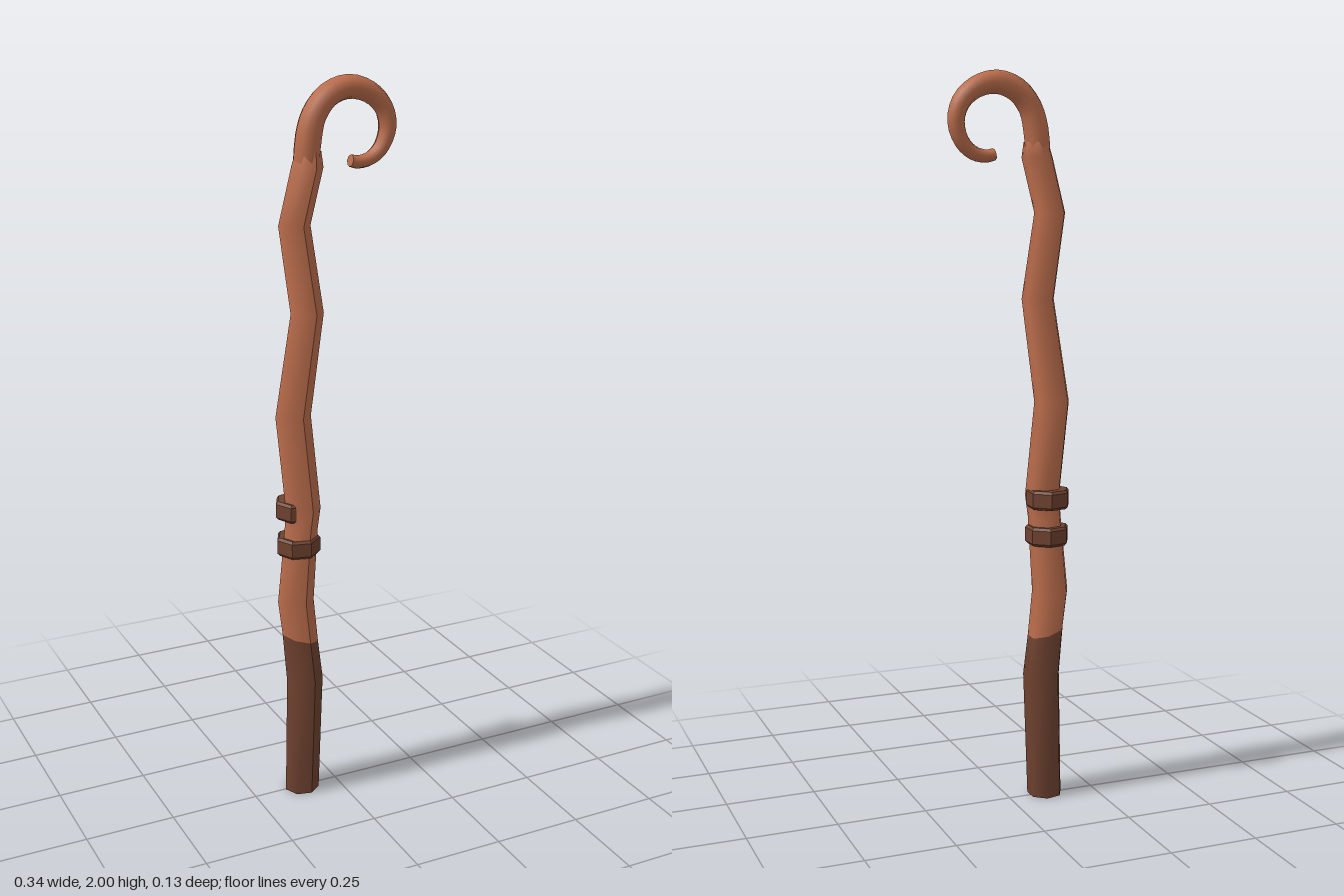
import * as THREE from 'three';

// Loft rings through sections {c, n, r, rz, tilt}; n is the ring's in-plane axis, z the other one.
// The seam keeps doubled vertices, so one crease runs along the length. darkRows get material 1.
function loft(sections, sides, phase, darkRows = 0) {
  const pos = [], idx = [], w = sides + 1;
  const point = (s, j) => {
    const a = phase + (j % sides) / sides * Math.PI * 2;
    const c = Math.cos(a) * s.r;
    return [s.c.x + s.n.x * c, s.c.y + s.n.y * c - s.tilt * Math.cos(a), s.c.z + Math.sin(a) * s.rz];
  };
  for (const s of sections) for (let j = 0; j < w; j++) pos.push(...point(s, j));
  const cap = (s, flip) => {
    const base = pos.length / 3;
    pos.push(s.c.x, s.c.y, s.c.z);
    for (let j = 0; j < w; j++) pos.push(...point(s, j));
    for (let j = 1; j <= sides; j++) {
      if (flip) idx.push(base, base + j + 1, base + j);
      else idx.push(base, base + j, base + j + 1);
    }
  };
  cap(sections[0], false);
  let split = 0;
  for (let i = 0; i < sections.length - 1; i++) {
    for (let j = 0; j < sides; j++) {
      const a = i * w + j, b = a + w;
      idx.push(a, b, a + 1, a + 1, b, b + 1);
    }
    if (i === darkRows - 1) split = idx.length;
  }
  cap(sections[sections.length - 1], true);
  const g = new THREE.BufferGeometry();
  g.setAttribute('position', new THREE.Float32BufferAttribute(pos, 3));
  g.setIndex(idx);
  g.computeVertexNormals();
  if (split) {
    g.addGroup(0, split, 1);
    g.addGroup(split, idx.length - split, 0);
  }
  return g;
}

export function createModel() {
  const wood = new THREE.MeshStandardMaterial({ color: 0xbb6d4c });
  wood.name = 'wood';
  const darkWood = new THREE.MeshStandardMaterial({ color: 0x6f4230 });
  darkWood.name = 'darkWood';

  const group = new THREE.Group();
  group.name = 'staff';
  const add = (name, geometry, material) => {
    const mesh = new THREE.Mesh(geometry, material);
    mesh.name = name;
    group.add(mesh);
    return mesh;
  };
  const SIDES = 7, PHASE = 78 * Math.PI / 180;

  // Crooked shaft: x, y, z, radius, tilt; the lowest stretch is dark
  const shaft = [
    [-0.108, 0, 0.003, 0.049, 0],
    [-0.1, 0.35, 0.008, 0.052, 0],
    [-0.111, 0.475, 0.004, 0.051, 0.015],
    [-0.122, 0.59, 0, 0.051, 0],
    [-0.107, 0.8, 0.006, 0.047, 0],
    [-0.102, 0.86, 0.009, 0.049, 0],
    [-0.123, 1.12, -0.005, 0.049, 0],
    [-0.088, 1.4, 0.012, 0.045, 0],
    [-0.118, 1.63, 0.002, 0.043, 0],
    [-0.081, 1.775, 0.002, 0.043, 0],
    [-0.078, 1.815, 0.004, 0.034, 0],
  ].map(([x, y, z, r, tilt]) => ({
    c: new THREE.Vector3(x, y, z), n: new THREE.Vector3(1, 0, 0), r, rz: r, tilt,
  }));
  add('shaft', loft(shaft, SIDES, PHASE, 2), [wood, darkWood]);

  // Curled hook: tapering tube along a curve; x, y, radius
  const hook = [
    [-0.085, 1.75, 0.036], [-0.076, 1.85, 0.036], [-0.06, 1.905, 0.034], [-0.022, 1.95, 0.033],
    [0.035, 1.969, 0.031], [0.095, 1.953, 0.028], [0.135, 1.915, 0.026], [0.148, 1.865, 0.024],
    [0.132, 1.815, 0.021], [0.102, 1.787, 0.019], [0.065, 1.778, 0.017], [0.042, 1.783, 0.016],
  ];
  const path = new THREE.CatmullRomCurve3(hook.map(([x, y]) => new THREE.Vector3(x, y, 0.004)));
  const STEPS = 33;
  const rings = [];
  for (let i = 0; i <= STEPS; i++) {
    const t = i / STEPS, f = t * (hook.length - 1);
    const k = Math.min(Math.floor(f), hook.length - 2);
    const r = THREE.MathUtils.lerp(hook[k][2], hook[k + 1][2], f - k);
    const tan = path.getTangent(t);
    rings.push({
      c: path.getPoint(t), n: new THREE.Vector3(tan.y, -tan.x, 0),
      r, rz: r * (0.98 + 0.15 * t), tilt: 0,
    });
  }
  add('hook', loft(rings, 8, 0), wood);

  // Two chamfered bands around the shaft
  const profile = [[0.03, -0.026], [0.055, -0.026], [0.061, -0.019], [0.061, 0.019], [0.055, 0.026], [0.03, 0.026]]
    .map(([x, y]) => new THREE.Vector2(x, y));
  [['lowerBand', 0.752, -0.002], ['upperBand', 0.855, -0.008]].forEach(([name, y, z]) => {
    const g = new THREE.LatheGeometry(profile, SIDES, Math.PI / 2 - PHASE).toNonIndexed();
    g.computeVertexNormals();
    add(name, g, darkWood).position.set(-0.111, y, z);
  });

  return group;
}
